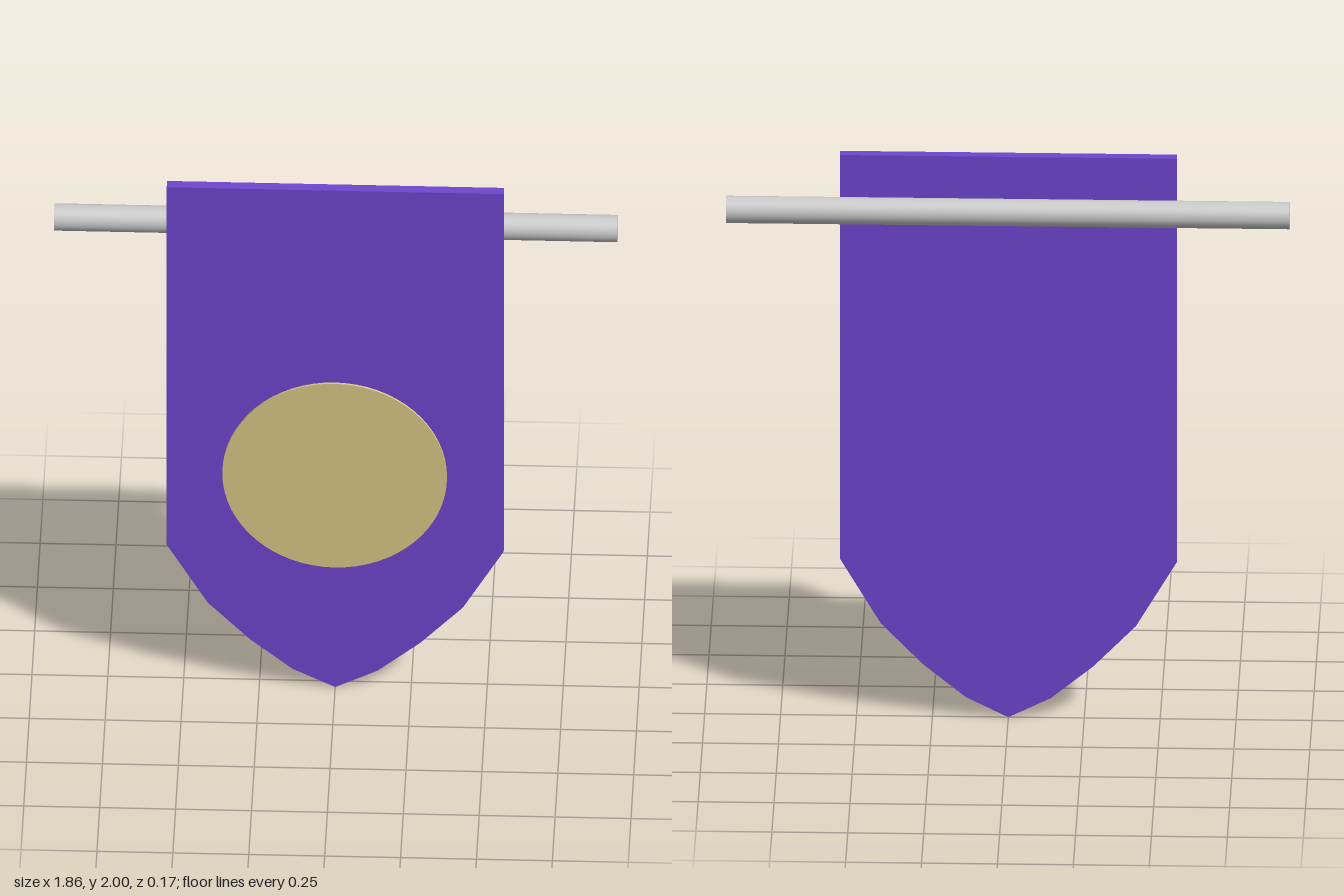
import * as THREE from 'three';

const material = (color, extra = {}) => new THREE.MeshStandardMaterial({ color, ...extra });

function addMesh(group, name, geometry, mat) {
  const mesh = new THREE.Mesh(geometry, mat);
  mesh.name = name;
  group.add(mesh);
  return mesh;
}

export function createModel() {
  const group = new THREE.Group();
  group.name = 'hangingBanner';

  // Cloth: right half of the outline, mirrored, with a faceted pointed hem
  const half = [[0.555, 2], [0.555, 0.56], [0.42, 0.33], [0.28, 0.185], [0.14, 0.07]];
  const outline = [
    ...half.map(([x, y]) => new THREE.Vector2(x, y)),
    new THREE.Vector2(0, 0),
    ...half.map(([x, y]) => new THREE.Vector2(-x, y)).reverse(),
  ].reverse();
  const cloth = new THREE.ExtrudeGeometry(new THREE.Shape(outline), { depth: 0.036, bevelEnabled: false });
  addMesh(group, 'bannerCloth', cloth, material(0x7046d2, { flatShading: true })).position.z = -0.001;

  // Round emblem plate floating just in front of the cloth
  const plate = new THREE.CylinderGeometry(0.37, 0.37, 0.008, 64).rotateX(Math.PI / 2);
  addMesh(group, 'emblemDisc', plate, material(0xdcc888)).position.set(0, 0.887, 0.081);

  // Horizontal pole behind the cloth
  const pole = new THREE.CylinderGeometry(0.045, 0.045, 1.856, 32).rotateZ(Math.PI / 2);
  addMesh(group, 'pole', pole, material(0xcccccc)).position.set(0, 1.818, -0.04);

  return group;
}
